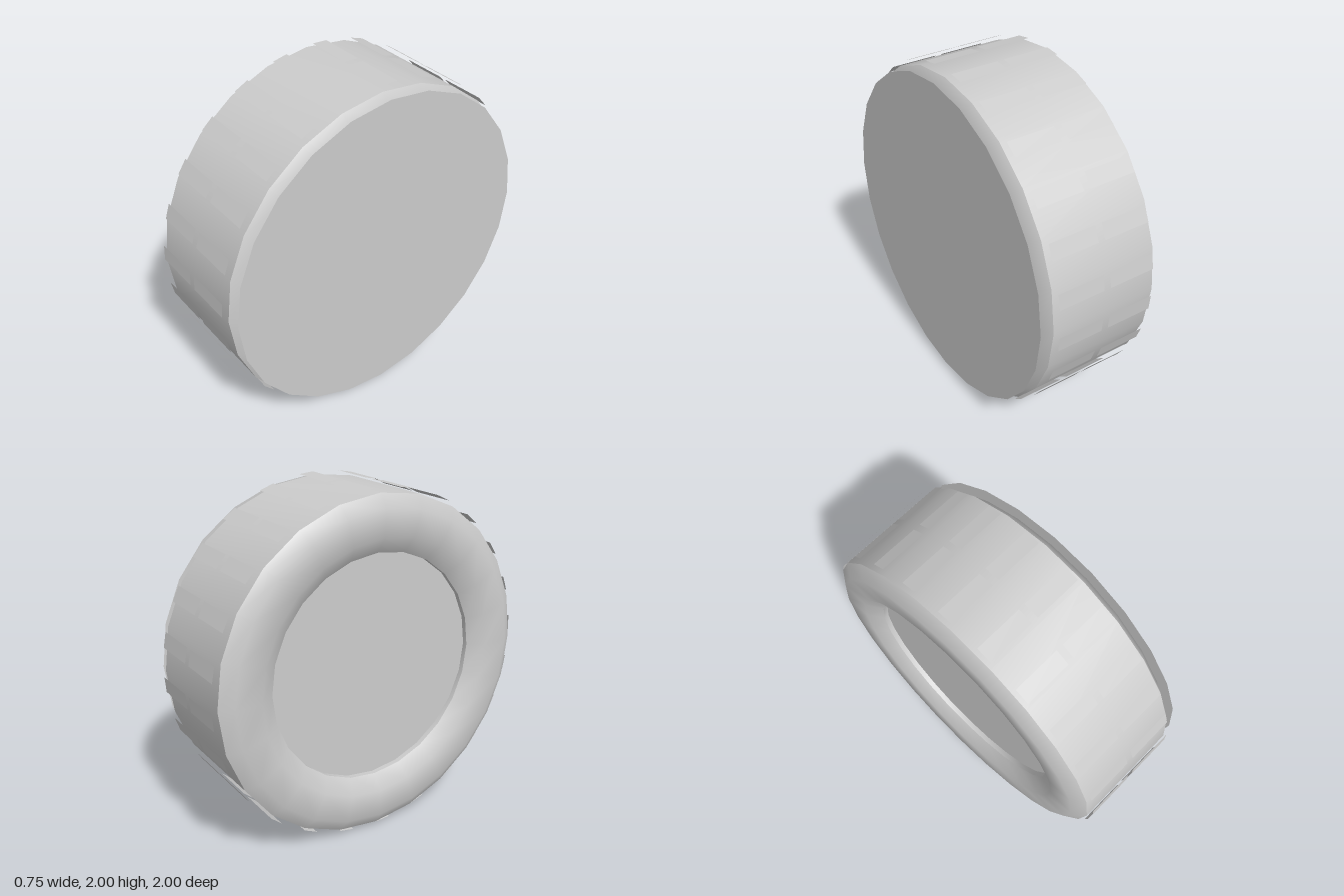
import * as THREE from 'three';
import { toCreasedNormals } from 'three/addons/utils/BufferGeometryUtils.js';

const SIDES = 24;

export function createModel() {
  const wheel = new THREE.Group();
  wheel.name = 'wheel';
  const grey = new THREE.MeshStandardMaterial({ color: 0xcccccc, side: THREE.DoubleSide });
  grey.name = 'grey';

  const add = (name, geometry, parent = wheel) => {
    const mesh = new THREE.Mesh(geometry, grey);
    mesh.name = name;
    parent.add(mesh);
    return mesh;
  };

  // Tyre: profile of [radius, x], turned around the x axis
  const profile = [
    [0.66, -0.28], [0.66, -0.31], [0.75, -0.37], [0.905, -0.375], [0.98, -0.325],
    [0.98, 0.308], [0.905, 0.36], [0.75, 0.355], [0.66, 0.295],
  ].map(([r, x]) => new THREE.Vector2(r, x));
  const tyre = new THREE.LatheGeometry(profile, SIDES);
  tyre.rotateZ(-Math.PI / 2);
  add('tyre', toCreasedNormals(tyre, 0.65)).position.y = 1;

  // Flat discs: a wide cover on the left, a recessed hub on the right
  const cover = add('coverDisc', new THREE.CircleGeometry(0.965, SIDES).rotateY(Math.PI / 2));
  cover.position.set(0.375, 1, 0);
  const hub = add('hubDisc', new THREE.CircleGeometry(0.66, SIDES).rotateY(-Math.PI / 2));
  hub.position.set(-0.28, 1, 0);

  // Tread: two rows of flat plates just above the tyre surface
  const tread = new THREE.Group();
  tread.name = 'tread';
  tread.position.y = 1;
  wheel.add(tread);
  const plate = new THREE.PlaneGeometry(0.275, 0.09).translate(0, 0, 1);
  for (let i = 0; i < SIDES; i++) {
    const angle = THREE.MathUtils.degToRad(4 + i * 360 / SIDES);
    for (const x of [-0.167, 0.148]) {
      const block = add('treadPlate', plate, tread);
      block.position.x = x;
      block.rotation.x = -angle;
    }
  }

  return wheel;
}
